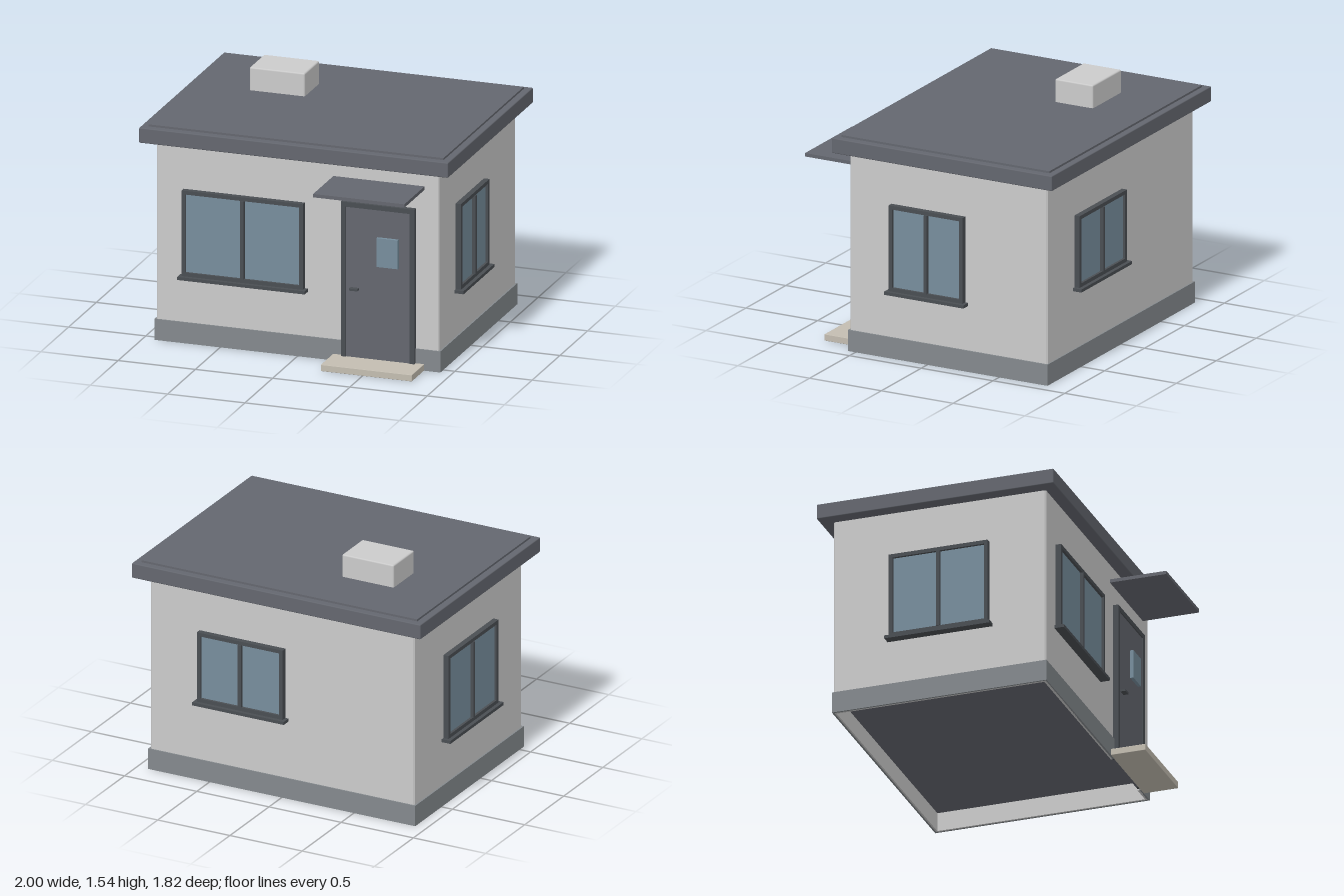
import * as THREE from 'three';
import { RoundedBoxGeometry } from 'three/addons/geometries/RoundedBoxGeometry.js';

const mat = (color) => new THREE.MeshStandardMaterial({ color });
const WALL = mat(0xcccccc), ROOF = mat(0x64676f), FRAME = mat(0x4a4e53);
const PLINTH = mat(0x84898d), GLASS = mat(0x778e9d), STONE = mat(0xc3bdb1);

const ZC = -0.1425;                 // centre of the house in depth
const HW = 0.915, HD = 0.6875;      // half width and depth of the walls
const DOOR = [0.29, 0.765];         // door opening in x

// Box given by its min/max on each axis, with an optional soft edge
function block(parent, name, material, [x0, x1], [y0, y1], [z0, z1], bevel = 0) {
  const s = [x1 - x0, y1 - y0, z1 - z0];
  const geo = bevel ? new RoundedBoxGeometry(...s, 1, bevel) : new THREE.BoxGeometry(...s);
  const mesh = new THREE.Mesh(geo, material);
  mesh.name = name;
  mesh.position.set((x0 + x1) / 2, (y0 + y1) / 2, (z0 + z1) / 2);
  parent.add(mesh);
  return mesh;
}

// Vertical extrusion of a plan outline given as [x, z] points
function prism(parent, name, material, points, y0, y1) {
  const shape = new THREE.Shape(points.map(([x, z]) => new THREE.Vector2(x, -z)));
  const geo = new THREE.ExtrudeGeometry(shape, { depth: y1 - y0, bevelEnabled: false });
  geo.rotateX(-Math.PI / 2);
  const mesh = new THREE.Mesh(geo, material);
  mesh.name = name;
  mesh.position.set(0, y0, ZC);
  parent.add(mesh);
}

// Rectangular band around the house, left open at the door
function doorBand(parent, name, material, hw, hd, t, y0, y1) {
  const [a, b] = DOOR, iw = hw - t, id = hd - t;
  prism(parent, name, material, [
    [b, hd], [hw, hd], [hw, -hd], [-hw, -hd], [-hw, hd], [a, hd],
    [a, id], [-iw, id], [-iw, -id], [iw, -id], [iw, id], [b, id],
  ], y0, y1);
}

// Two-pane window facing +z, its back on z = 0
function windowUnit(name, w, y0, y1) {
  const g = new THREE.Group();
  g.name = name;
  const bar = 0.024, h = w / 2;
  const outer = new THREE.Shape([[-h, y0], [h, y0], [h, y1], [-h, y1]].map((p) => new THREE.Vector2(...p)));
  const i = h - bar;
  outer.holes.push(new THREE.Path(
    [[-i, y0 + bar], [-i, y1 - bar], [i, y1 - bar], [i, y0 + bar]].map((p) => new THREE.Vector2(...p))));
  const frame = new THREE.Mesh(new THREE.ExtrudeGeometry(outer, { depth: 0.036, bevelEnabled: false }), FRAME);
  frame.name = 'windowFrame';
  g.add(frame);
  block(g, 'windowGlass', GLASS, [-i, i], [y0 + bar, y1 - bar], [0, 0.02]);
  block(g, 'mullion', FRAME, [-0.011, 0.011], [y0 + bar, y1 - bar], [0, 0.042]);
  block(g, 'windowSill', FRAME, [-h - 0.02, h + 0.02], [y0 - 0.02, y0], [0, 0.06]);
  return g;
}

export function createModel() {
  const house = new THREE.Group();
  house.name = 'house';
  const front = ZC + HD, back = ZC - HD;

  // Walls with chamfered corners, and their open-bottomed base
  const c = 0.008;
  prism(house, 'walls', WALL, [
    [HW - c, HD], [HW, HD - c], [HW, c - HD], [HW - c, -HD],
    [c - HW, -HD], [-HW, c - HD], [-HW, HD - c], [c - HW, HD],
  ], 0.13, 1.28);
  doorBand(house, 'wallBase', WALL, HW, HD, 0.015, 0, 0.13);
  doorBand(house, 'plinth', PLINTH, HW + 0.01, HD + 0.008, 0.012, 0, 0.135);
  block(house, 'floorSlab', ROOF, [-0.9, 0.9], [0.12, 0.13], [back + 0.015, front - 0.015]);

  // Flat roof with raised top and chimney box
  block(house, 'roofSlab', ROOF, [-1, 1], [1.28, 1.377], [-0.91, 0.625], 0.006);
  block(house, 'roofTop', ROOF, [-0.955, 0.955], [1.37, 1.39], [-0.868, 0.58]);
  block(house, 'chimneyBox', WALL, [-0.597, -0.238], [1.38, 1.537], [-0.508, -0.243], 0.01);

  // Door: leaf, frame, small pane and handle
  const door = new THREE.Group();
  door.name = 'door';
  const [a, b] = DOOR, t = 0.03, top = 1.035;
  block(door, 'doorLeaf', ROOF, [a + t, b - t], [0.01, top - t], [front - 0.015, 0.57]);
  block(door, 'doorJamb', FRAME, [a, a + t], [0.01, top], [front - 0.015, 0.578]);
  block(door, 'doorJamb', FRAME, [b - t, b], [0.01, top], [front - 0.015, 0.578]);
  block(door, 'doorHead', FRAME, [a + t, b - t], [top - t, top], [front - 0.015, 0.578]);
  block(door, 'doorGlass', GLASS, [0.525, 0.662], [0.645, 0.83], [0.56, 0.59]);
  block(door, 'doorHandle', FRAME, [0.35, 0.405], [0.477, 0.49], [0.56, 0.602]);
  house.add(door);

  // Canopy and step at the entrance
  block(house, 'canopy', ROOF, [0.23, 0.82], [1.16, 1.182], [front, 0.91]);
  block(house, 'doorStep', STONE, [0.23, 0.82], [0, 0.042], [front + 0.005, 0.775], 0.003);

  // Windows on all four sides: name, width, y range, position, turn
  const windows = [
    ['frontWindow', 0.785, 0.44, 0.99, -0.347, front, 0],
    ['backWindow', 0.595, 0.53, 0.99, 0.275, back, Math.PI],
    ['leftWindow', 0.514, 0.44, 0.99, HW, -0.003, Math.PI / 2],
    ['rightWindow', 0.64, 0.44, 0.99, -HW, -0.14, -Math.PI / 2],
  ];
  for (const [name, w, y0, y1, x, z, turn] of windows) {
    const win = windowUnit(name, w, y0, y1);
    win.position.set(x, 0, z);
    win.rotation.y = turn;
    house.add(win);
  }
  return house;
}
